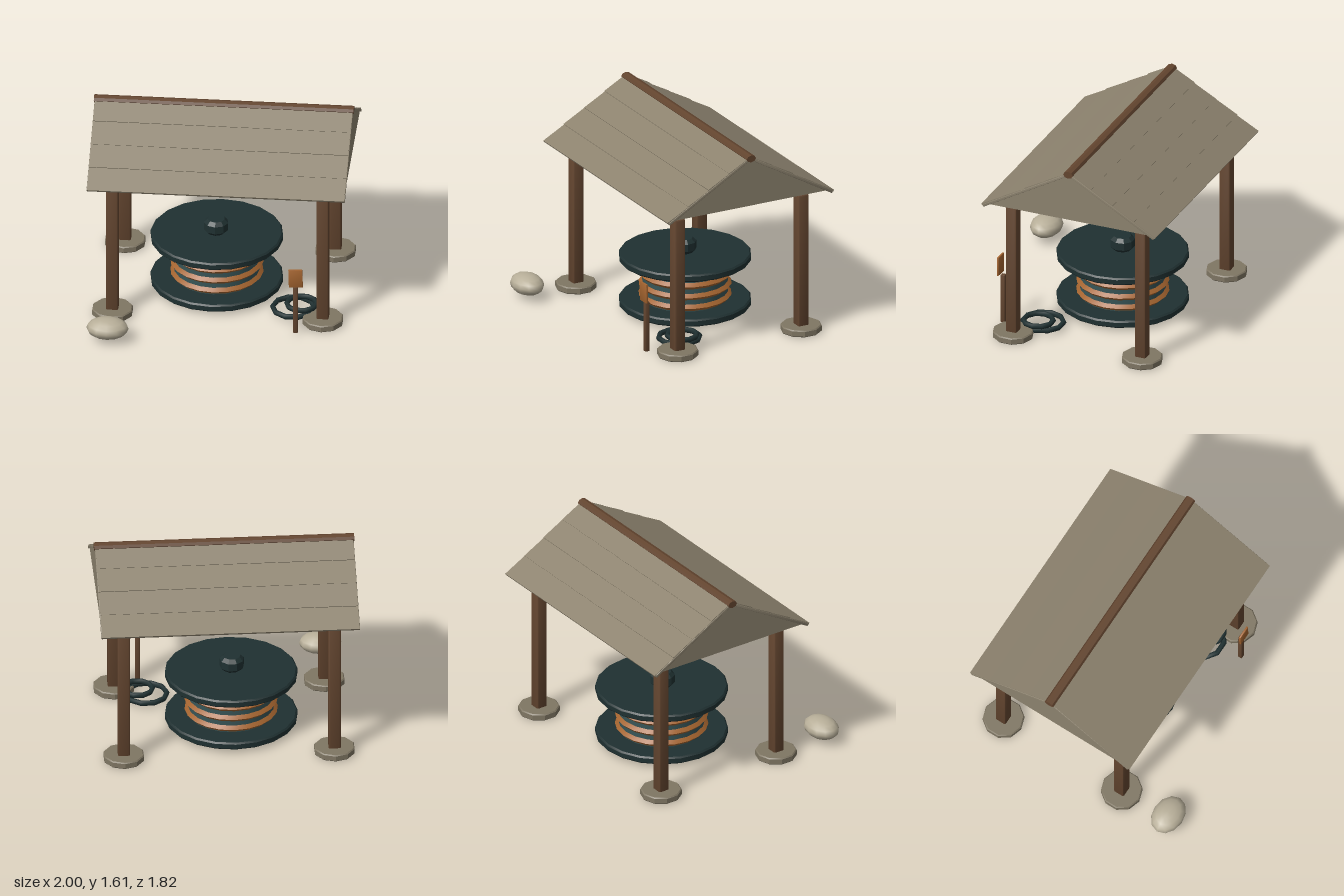
import * as THREE from 'three';
import { RoundedBoxGeometry } from 'three/addons/geometries/RoundedBoxGeometry.js';
import { toCreasedNormals } from 'three/addons/utils/BufferGeometryUtils.js';

const material = (name, color) => Object.assign(new THREE.MeshStandardMaterial({ color }), { name });

export function createModel() {
  const model = new THREE.Group();
  model.name = 'cableShelter';
  const thatch = material('roofGrey', 0x8c826e);
  const wood = material('postWood', 0x63452f);
  const stoneBase = material('footingStone', 0x7f7663);
  const stone = material('paleStone', 0xb8af99);
  const dark = material('darkTeal', 0x1f3031);
  const teal = material('drumTeal', 0x385557);
  const copper = material('copper', 0xa4642f);

  const add = (name, geometry, mat, x = 0, y = 0, z = 0, parent = model) => {
    const mesh = new THREE.Mesh(geometry, mat);
    mesh.name = name;
    mesh.position.set(x, y, z);
    parent.add(mesh);
    return mesh;
  };
  // Chamfered disc turned about y, standing on its origin
  const disc = (radius, height, bevel, sides) => toCreasedNormals(new THREE.LatheGeometry([
    [0, 0], [radius - bevel, 0], [radius, bevel], [radius, height - bevel],
    [radius - bevel, height], [0, height],
  ].map(([r, y]) => new THREE.Vector2(r, y)), sides), 0.5);
  const beam = (w, h, d, bevel) => toCreasedNormals(new RoundedBoxGeometry(w, h, d, 1, bevel), 0.5);

  // Four posts on round footings
  for (const x of [-0.81, 0.81]) {
    for (const z of [0.355, -0.725]) {
      add('footing', disc(0.16, 0.055, 0.008, 10), stoneBase, x, 0, z);
      add('post', beam(0.093, 1.09, 0.09, 0.012), wood, x, 0.585, z);
    }
  }

  // Roof: two slopes of shallow overlapping boards
  const roof = new THREE.Group();
  roof.name = 'roof';
  model.add(roof);
  const ridgeZ = -0.186, ridgeY = 1.58, run = 0.715, drop = 0.41;
  const pitch = Math.atan2(drop, run), length = Math.hypot(run, drop);
  for (const side of [1, -1]) {
    const slope = new THREE.Group();
    slope.name = side > 0 ? 'frontSlope' : 'backSlope';
    slope.position.set(0, ridgeY, ridgeZ);
    slope.rotation.x = side * pitch;
    roof.add(slope);
    add('roofPanel', beam(1.99, 0.022, length, 0.005), thatch, 0, 0, side * length / 2, slope);
    for (let i = 0; i < 4; i++) {
      const board = add('roofBoard', new THREE.BoxGeometry(1.98, 0.014, length / 4 + 0.01), thatch,
        0, 0.009, side * length * (i + 0.5) / 4, slope);
      board.rotation.x = -side * 0.025;
      board.rotation.z = (i % 2 ? 1 : -1) * 0.001;
    }
  }

  // Closed gables
  const gable = new THREE.Shape([
    new THREE.Vector2(-0.655, 1.19), new THREE.Vector2(0.655, 1.19), new THREE.Vector2(0, 1.58),
  ]);
  for (const x of [-0.985, 0.965]) {
    const panel = add('gable', new THREE.ExtrudeGeometry(gable, { depth: 0.02, bevelEnabled: false }),
      thatch, x, 0, ridgeZ, roof);
    panel.rotation.y = Math.PI / 2;
  }

  // Ridge pole
  const pole = toCreasedNormals(new THREE.CylinderGeometry(0.04, 0.04, 2, 8), 0.5);
  pole.scale(0.72, 1, 1).rotateZ(Math.PI / 2);
  add('ridgePole', pole, wood, 0, 1.58, ridgeZ, roof);

  // Cable drum with raised copper windings
  const drum = new THREE.Group();
  drum.name = 'cableDrum';
  drum.position.set(-0.055, 0, -0.185);
  model.add(drum);
  add('lowerFlange', disc(0.51, 0.06, 0.012, 20), dark, 0, 0.027, 0, drum);
  add('upperFlange', disc(0.51, 0.06, 0.012, 20), dark, 0, 0.395, 0, drum);
  add('drumCore', new THREE.CylinderGeometry(0.333, 0.333, 0.32, 20, 1, true), teal, 0, 0.24, 0, drum);
  for (const y of [0.118, 0.207, 0.296, 0.383]) {
    const ring = new THREE.TorusGeometry(0.322, 0.037, 4, 20).rotateX(Math.PI / 2);
    add('copperWinding', toCreasedNormals(ring, 0.5), copper, 0, y, 0, drum);
  }
  add('hubCap', disc(0.095, 0.117, 0.028, 9), dark, -0.005, 0.454, 0.005, drum);

  // Loose cable coils beside the front post
  for (const [x, y, z, r] of [[0.57, 0.042, 0.21, 0.16], [0.635, 0.083, 0.22, 0.115]]) {
    add('cableCoil', new THREE.TorusGeometry(r, 0.021, 6, 10).rotateX(Math.PI / 2), dark, x, y, z);
  }

  // Small signpost with a blank board
  add('signStake', beam(0.036, 0.405, 0.036, 0.004), wood, 0.615, 0.2025, 0.52);
  const sign = add('signBoard', beam(0.108, 0.155, 0.016, 0.004), copper, 0.617, 0.488, 0.545);
  sign.rotation.z = 0.03;

  // Loose boulder
  add('boulder', new THREE.SphereGeometry(1, 12, 8).scale(0.163, 0.081, 0.122), stone, -0.81, 0.113, 0.782);

  return model;
}
